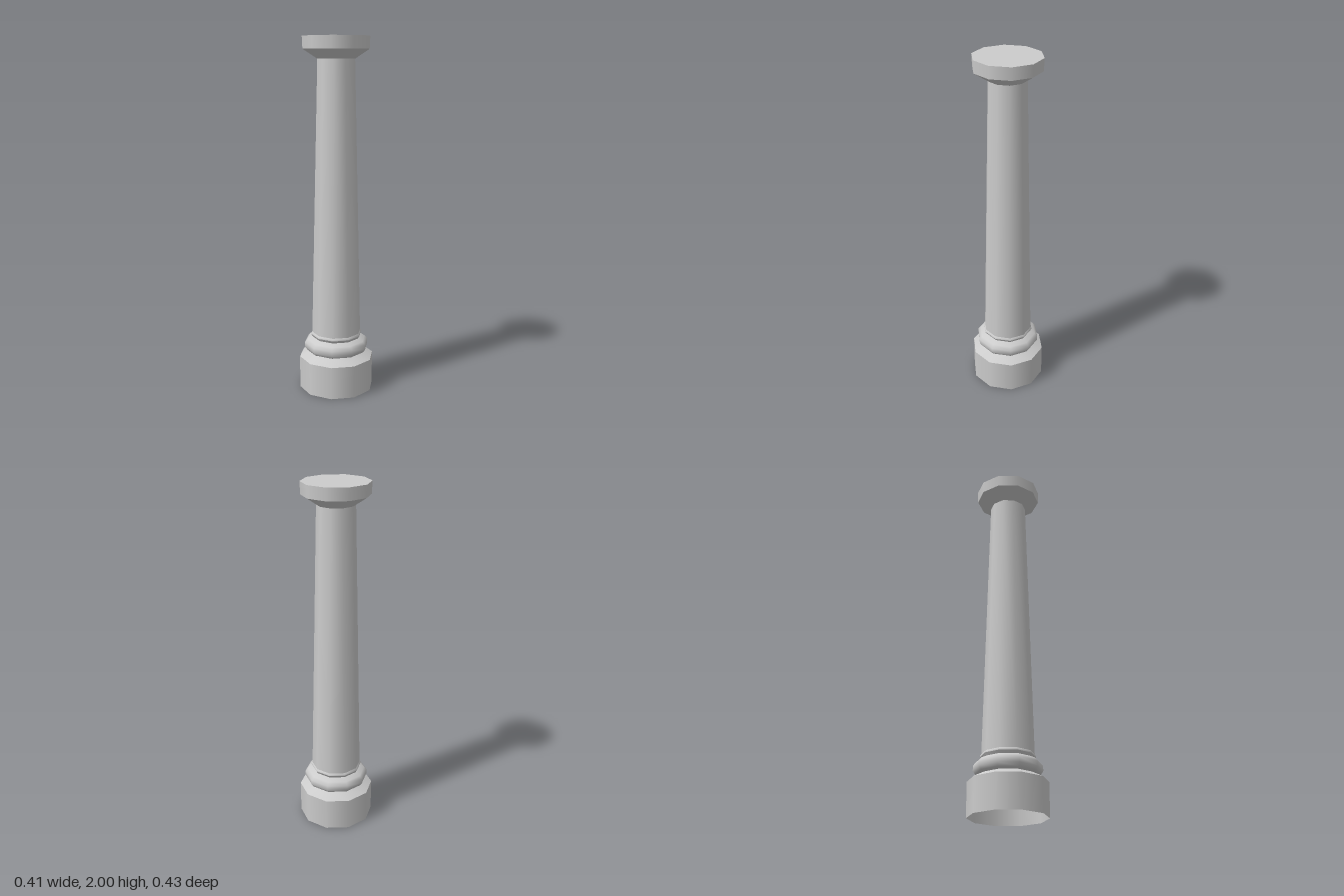
import * as THREE from 'three';

const SIDES = 10;

export function createModel() {
  const group = new THREE.Group();
  const material = new THREE.MeshStandardMaterial({ color: 0xcccccc, side: THREE.DoubleSide });

  // Each part is a ten-sided turned band; profile is [radius, height] from bottom to top
  const turned = (name, profile) => {
    const points = profile.map(([r, y]) => new THREE.Vector2(r, y));
    const mesh = new THREE.Mesh(new THREE.LatheGeometry(points, SIDES), material);
    mesh.name = name;
    group.add(mesh);
  };

  // Base: hollow plinth open underneath, with a sloped shoulder
  turned('plinth', [[0.214, 0], [0.214, 0.187]]);
  turned('plinthShoulder', [[0.214, 0.187], [0.15, 0.219]]);

  // Rounded moulding and thin collar
  turned('baseMoulding', [[0.15, 0.219], [0.172, 0.226], [0.184, 0.245], [0.184, 0.272], [0.168, 0.29], [0.138, 0.304]]);
  turned('collarUnderside', [[0.138, 0.304], [0.147, 0.319]]);
  turned('collar', [[0.147, 0.319], [0.147, 0.325], [0.141, 0.333]]);

  // Tapering shaft
  turned('shaft', [[0.141, 0.333], [0.104, 1.88]]);

  // Flared capital with a flat top slab
  turned('capitalFlare', [[0.104, 1.88], [0.184, 1.932]]);
  turned('capitalSlab', [[0.184, 1.932], [0.187, 2]]);
  turned('capitalTop', [[0.187, 2], [0, 2]]);

  return group;
}
